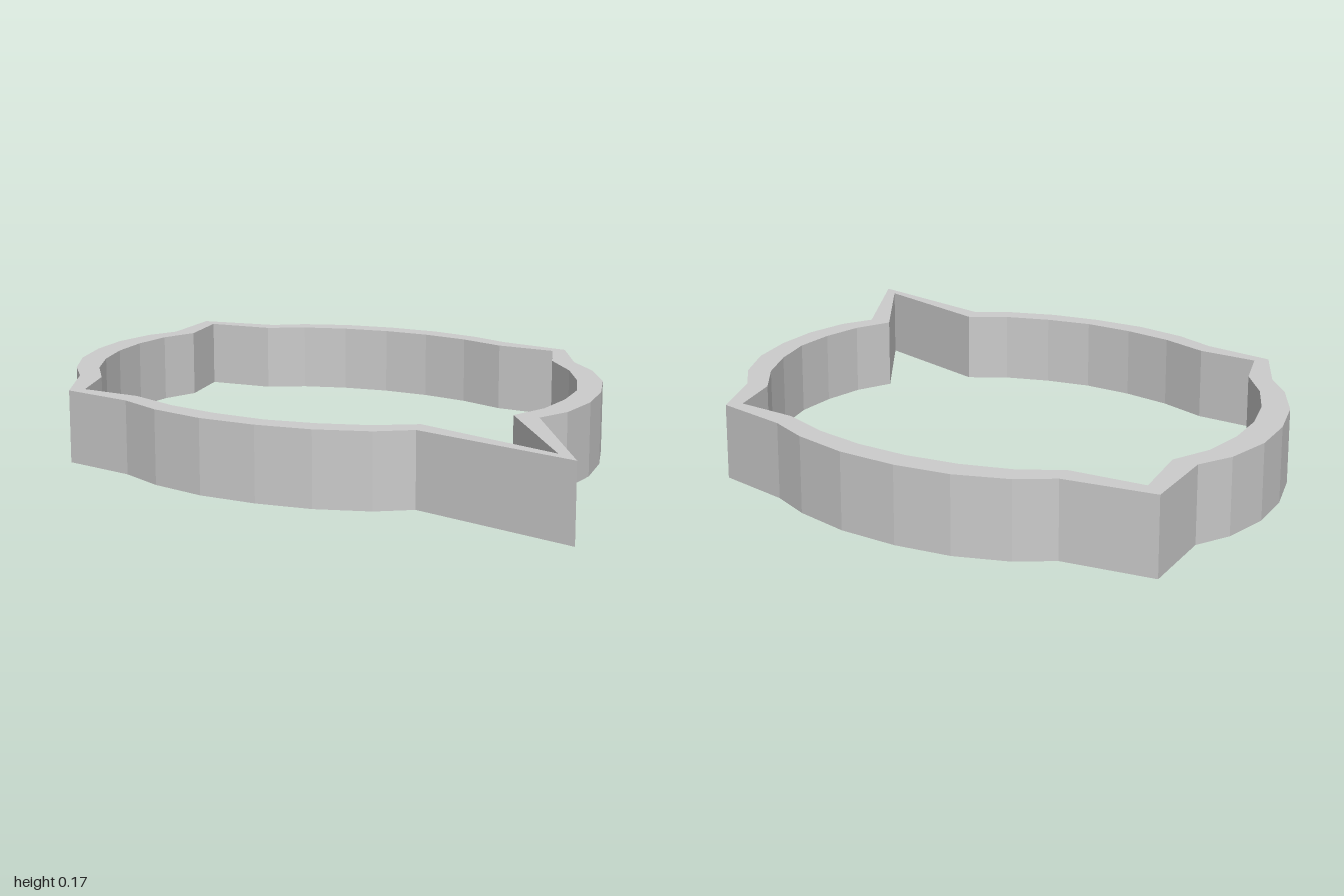
import * as THREE from 'three';

const HEIGHT = 0.17;

// Half outlines in plan as [x, z], from the back tip to the long front tip
const OUTER = [
  [0, -1], [0.147, -0.848], [0.235, -0.823], [0.34, -0.755], [0.43, -0.66], [0.51, -0.54],
  [0.565, -0.407], [0.59, -0.295], [0.67, -0.115], [0.59, 0.057], [0.565, 0.18], [0.51, 0.31],
  [0.43, 0.425], [0.34, 0.52], [0.235, 0.592], [0.148, 0.618], [0, 1],
];
const INNER = [
  [0, -0.94], [0.112, -0.802], [0.21, -0.765], [0.305, -0.695], [0.39, -0.605], [0.46, -0.5],
  [0.515, -0.38], [0.55, -0.25], [0.632, -0.115], [0.55, 0.017], [0.515, 0.153], [0.46, 0.275],
  [0.39, 0.385], [0.305, 0.468], [0.21, 0.535], [0.112, 0.57], [0, 0.932],
];

// Mirror a half outline across x = 0 into a closed loop
function mirrored(half) {
  const other = half.slice(1, -1).reverse().map(([x, z]) => [-x, z]);
  return [...half, ...other].map(([x, z]) => new THREE.Vector2(x, z));
}

export function createModel() {
  const group = new THREE.Group();
  group.name = 'pointedRing';

  // Upright wall following the pointed oval, open in the middle
  const shape = new THREE.Shape(mirrored(OUTER));
  shape.holes.push(new THREE.Path(mirrored(INNER)));
  const geometry = new THREE.ExtrudeGeometry(shape, { depth: HEIGHT, bevelEnabled: false });
  geometry.rotateX(Math.PI / 2).translate(0, HEIGHT, 0);

  const material = new THREE.MeshStandardMaterial({ color: 0xcccccc, flatShading: true });
  const wall = new THREE.Mesh(geometry, material);
  wall.name = 'ringWall';
  group.add(wall);
  return group;
}
